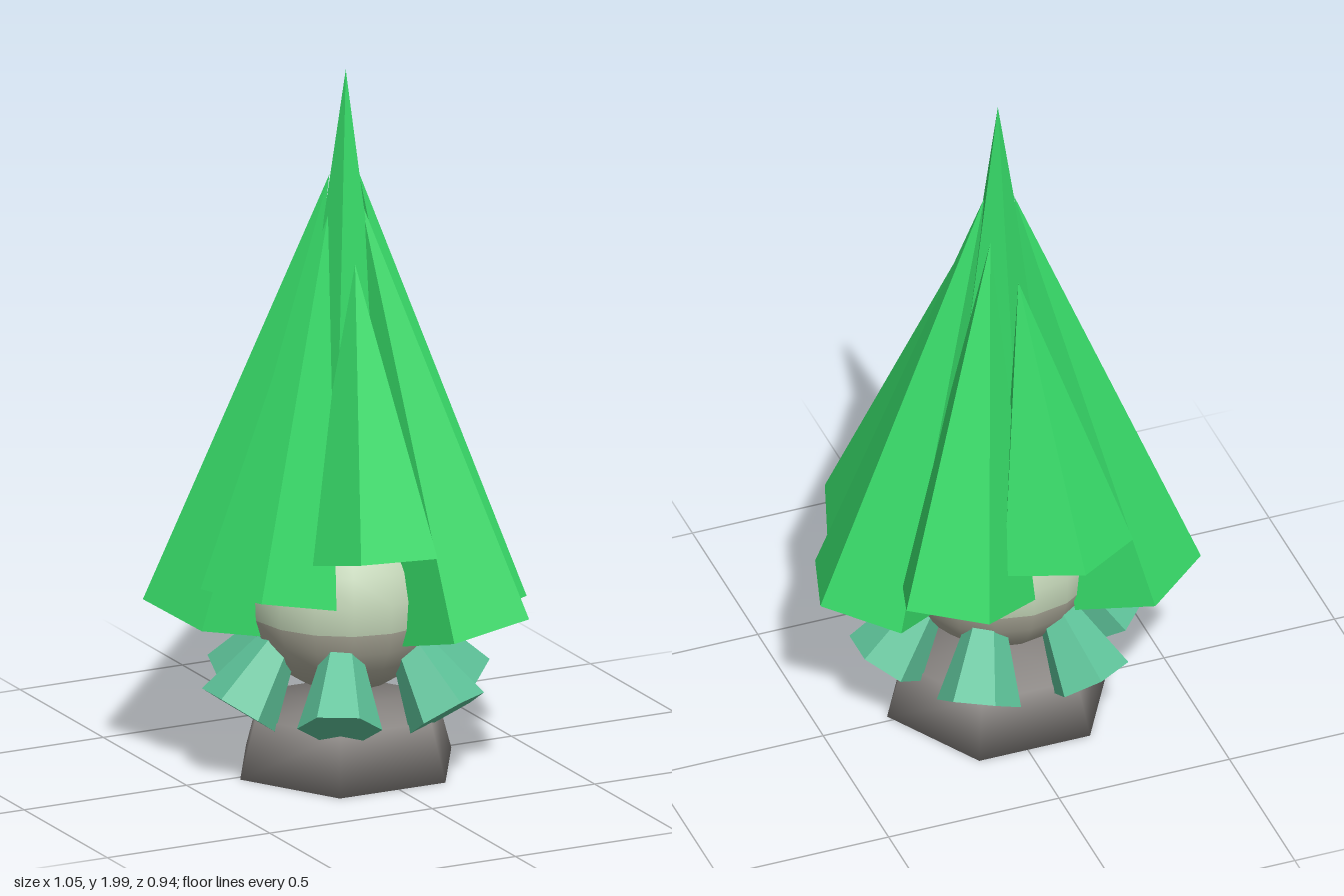
import * as THREE from 'three';
import { mergeVertices } from 'three/addons/utils/BufferGeometryUtils.js';

const UP = new THREE.Vector3(0, 1, 0);
const CX = -0.02, CZ = 0.02; // trunk axis

function material(name, color, flat) {
  const m = new THREE.MeshStandardMaterial({ color });
  m.name = name;
  m.flatShading = flat;
  return m;
}

// Weld a geometry so its shading runs smoothly over every edge
function smooth(geometry) {
  geometry.deleteAttribute('normal');
  geometry.deleteAttribute('uv');
  const welded = mergeVertices(geometry, 1e-4);
  welded.computeVertexNormals();
  return welded;
}

export function createModel() {
  const model = new THREE.Group();
  const green = material('leaf green', 0x36d867, true);
  const teal = material('teal', 0x5cc097, true);
  const cream = material('pale green cream', 0xc4d6b8, false);
  const tan = material('grey tan', 0xaaa898, false);
  const grey = material('stone grey', 0x8a8683, false);

  const add = (name, geometry, mat, parent = model) => {
    const mesh = new THREE.Mesh(geometry, mat);
    mesh.name = name;
    parent.add(mesh);
    return mesh;
  };

  // Five-sided cone spanned between a base centre and a tip
  function leaf(name, base, tip) {
    const a = new THREE.Vector3(...base), b = new THREE.Vector3(...tip);
    const axis = b.clone().sub(a);
    const mesh = add(name, new THREE.ConeGeometry(0.2, axis.length(), 5, 1, false, Math.PI), green);
    mesh.position.copy(a).add(b).multiplyScalar(0.5);
    mesh.quaternion.setFromUnitVectors(UP, axis.normalize());
  }

  // Upright centre spike and the ring of leaning leaves
  leaf('centreSpike', [CX, 0.6, CZ], [CX, 1.99, CZ]);
  const leaves = [
    [[-0.09, 0.67, -0.28], [-0.04, 1.46, -0.085]],
    [[0.185, 0.56, -0.245], [0.025, 1.58, -0.04]],
    [[0.34, 0.43, 0.02], [0.02, 1.69, 0.02]],
    [[0.205, 0.435, 0.305], [0.01, 1.62, 0.05]],
    [[-0.085, 0.67, 0.31], [-0.04, 1.46, 0.115]],
    [[-0.32, 0.555, 0.16], [-0.09, 1.59, 0.05]],
    [[-0.345, 0.433, -0.145], [-0.06, 1.69, 0]],
  ];
  leaves.forEach(([base, tip]) => leaf('leaf', base, tip));

  // Round core, pale above and darker beneath
  const split = Math.PI * 0.56;
  const parts = [['coreTop', 0, split, cream], ['coreBottom', split, Math.PI - split, tan]];
  for (const [name, start, length, mat] of parts) {
    const g = new THREE.SphereGeometry(0.28, 16, 6, 0, Math.PI * 2, start, length);
    add(name, g, mat).position.set(CX, 0.5, CZ);
  }

  // Ring of six flared collar petals
  const tilt = THREE.MathUtils.degToRad(35), length = 0.23;
  for (let i = 0; i < 6; i++) {
    const arm = new THREE.Group();
    arm.name = 'collarPetal';
    arm.position.set(CX, 0, CZ);
    arm.rotation.y = (i * Math.PI) / 3;
    model.add(arm);
    const petal = add('petal', new THREE.CylinderGeometry(0.052, 0.117, length, 6), teal, arm);
    petal.rotation.z = tilt;
    petal.position.set(
      0.33 - Math.sin(tilt) * length / 2,
      0.2 + Math.cos(tilt) * length / 2, 0);
  }

  // Six-sided stone foot
  const foot = smooth(new THREE.CylinderGeometry(0.278, 0.325, 0.165, 6, 1, false, Math.PI / 2));
  add('foot', foot, grey).position.set(CX, 0.0825, CZ);

  return model;
}
